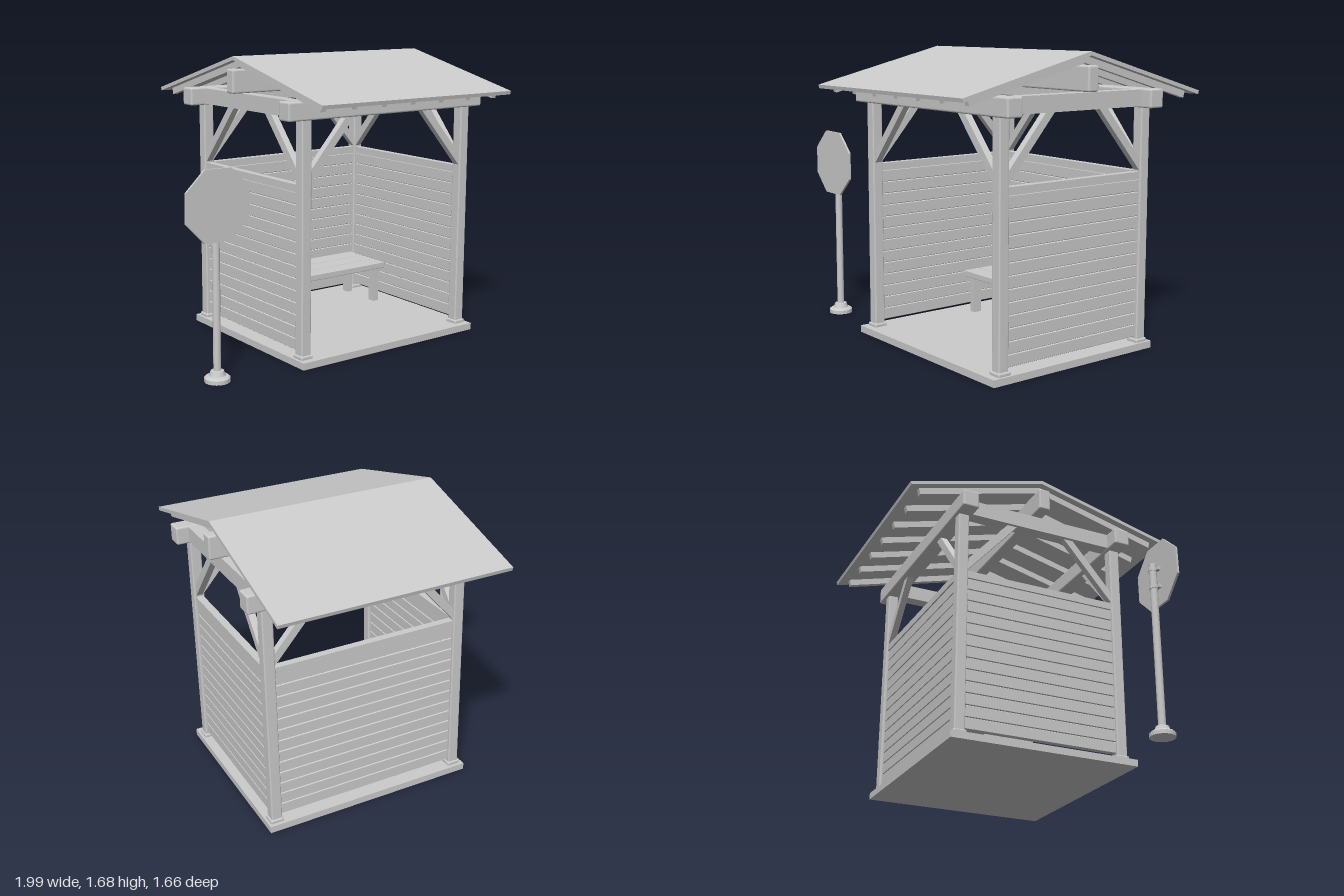
import * as THREE from 'three';
import { RoundedBoxGeometry } from 'three/addons/geometries/RoundedBoxGeometry.js';

const material = new THREE.MeshStandardMaterial({ color: 0xcccccc, flatShading: true });

export function createModel() {
  const model = new THREE.Group();

  const add = (parent, name, geometry) => {
    const mesh = new THREE.Mesh(geometry, material);
    mesh.name = name;
    parent.add(mesh);
    return mesh;
  };
  const group = (name) => {
    const g = new THREE.Group();
    g.name = name;
    model.add(g);
    return g;
  };
  // Box given by its limits on each axis, with an optional softened edge
  const box = (parent, name, [x0, x1], [y0, y1], [z0, z1], bevel = 0) => {
    const size = [x1 - x0, y1 - y0, z1 - z0];
    const geometry = bevel ? new RoundedBoxGeometry(...size, 2, bevel) : new THREE.BoxGeometry(...size);
    const mesh = add(parent, name, geometry);
    mesh.position.set((x0 + x1) / 2, (y0 + y1) / 2, (z0 + z1) / 2);
    return mesh;
  };
  // Outline in [x, y], extruded from z0 to z1
  const extrudeZ = (points, z0, z1) => {
    const shape = new THREE.Shape(points.map(([x, y]) => new THREE.Vector2(x, y)));
    return new THREE.ExtrudeGeometry(shape, { depth: z1 - z0, bevelEnabled: false }).translate(0, 0, z0);
  };
  // Outline in [z, y], extruded from x0 to x1
  const extrudeX = (points, x0, x1) =>
    extrudeZ(points.map(([z, y]) => [-z, y]), x0, x1).rotateY(Math.PI / 2);

  const postX = [-0.278, 0.882], postZ = [0.525, -0.469];
  const half = 0.032;

  // Floor slab
  box(model, 'floor', [-0.335, 0.936], [0, 0.04], [-0.53, 0.607]);

  // Corner posts with base collars
  const posts = group('posts');
  for (const x of postX) for (const z of postZ) {
    box(posts, 'post', [x - half, x + half], [0.04, 1.4], [z - half, z + half], 0.008);
    box(posts, 'postBase', [x - 0.04, x + 0.04], [0.035, 0.06], [z - 0.04, z + 0.04], 0.008);
  }

  // Beams: front, back, both sides and ridge
  const beams = group('beams');
  for (const z of postZ)
    box(beams, 'crossBeam', [-0.41, 0.995], [1.366, 1.47], [z - 0.049, z + 0.049], 0.01);
  for (const x of postX)
    box(beams, 'sideBeam', [x - 0.04, x + 0.04], [1.374, 1.465], [postZ[1], postZ[0]]);
  box(beams, 'ridgeBeam', [-0.41, 0.995], [1.472, 1.608], [-0.033, 0.038], 0.01);

  // Diagonal braces, two at every corner
  const braces = group('braces');
  const bracePoints = (start, dir) =>
    [[-0.01, 1.01], [0.31, 1.376], [0.25, 1.376], [-0.01, 1.078]].map(([d, y]) => [start + dir * d, y]);
  postX.forEach((x, i) => postZ.forEach((z, j) => {
    const dx = i ? -1 : 1, dz = j ? 1 : -1;
    add(braces, 'crossBrace', extrudeZ(bracePoints(x + dx * half, dx), z - 0.02, z + 0.02));
    add(braces, 'sideBrace', extrudeX(bracePoints(z + dz * half, dz), x - 0.02, x + 0.02));
  }));

  // Plank walls: a profile with a groove at every joint, plus a top rail
  const walls = group('walls');
  const wallProfile = (centre) => {
    const pitch = 0.069, thick = 0.016, side = [], other = [];
    for (let i = 0; i < 13; i++) {
      const y = 0.072 + i * pitch;
      for (const [t, h] of [[thick - 0.006, 0], [thick, 0.004], [thick, pitch - 0.004]]) {
        side.push([centre + t, y + h]);
        other.unshift([centre - t, y + h]);
      }
    }
    const top = 0.072 + 13 * pitch;
    return [...side, [centre + thick - 0.006, top], [centre - thick + 0.006, top], ...other];
  };
  for (const x of postX) {
    add(walls, 'sideWall', extrudeZ(wallProfile(x), postZ[1] + 0.02, postZ[0] - 0.02));
    box(walls, 'sideRail', [x - 0.022, x + 0.022], [0.969, 1.012], [postZ[1], postZ[0]]);
  }
  add(walls, 'backWall', extrudeX(wallProfile(postZ[1]), postX[0] + 0.02, postX[1] - 0.02));
  box(walls, 'backRail', postX, [0.969, 1.012], [postZ[1] - 0.022, postZ[1] + 0.022]);

  // Roof: two panels meeting at the ridge, carried by seven pairs of rafters
  const roof = group('roof');
  for (const [dir, slope] of [[1, 0.247], [-1, 0.281]]) {
    const panel = [[0, 1.68], [0.83, 1.68 - 0.83 * slope], [0.825, 1.658 - 0.825 * slope], [0, 1.658]];
    const rafter = [[0, 1.66], [0.765, 1.66 - 0.765 * slope], [0.755, 1.618 - 0.755 * slope], [0, 1.618]];
    const facing = (points) => points.map(([z, y]) => [dir * z, y]);
    add(roof, 'roofPanel', extrudeX(facing(panel), -0.386, 0.972));
    for (let i = 0; i < 7; i++) {
      const x = -0.326 + i * 0.2058;
      add(roof, 'rafter', extrudeX(facing(rafter), x - 0.016, x + 0.016));
    }
  }

  // Bench: three seat planks on bearers, with legs at both ends
  const bench = group('bench');
  for (let i = 0; i < 3; i++) {
    const z = -0.445 + i * 0.121;
    box(bench, 'seatPlank', [-0.235, 0.835], [0.257, 0.295], [z, z + 0.112], 0.004);
  }
  for (const x of [-0.172, 0.31, 0.777]) {
    box(bench, 'bearer', [x - 0.028, x + 0.028], [0.225, 0.258], [-0.435, -0.1]);
    if (x === 0.31) continue;
    for (const z of [-0.403, -0.131])
      box(bench, 'benchLeg', [x - 0.019, x + 0.019], [0.038, 0.226], [z - 0.026, z + 0.026]);
  }

  // Octagonal sign on a round pole with a stepped foot
  const sign = group('sign');
  sign.position.set(-0.802, 0, 0.467);
  const profile = [[0, 0], [0.071, 0], [0.071, 0.022], [0.062, 0.03], [0.045, 0.034], [0.036, 0.06], [0.021, 0.062],
    [0.021, 1.02], [0, 1.02]].map(([r, y]) => new THREE.Vector2(r, y));
  add(sign, 'signPole', new THREE.LatheGeometry(profile, 20));
  const plate = add(sign, 'signPlate', new THREE.CylinderGeometry(0.209, 0.209, 0.013, 8)
    .rotateY(Math.PI / 8).rotateX(Math.PI / 2));
  plate.position.set(-0.003, 0.958, 0.03);
  plate.rotation.z = -0.02;
  for (const y of [0.985, 0.875]) {
    box(sign, 'signClamp', [-0.042, 0.042], [y - 0.011, y + 0.011], [0.005, 0.026]);
    const ring = add(sign, 'clampRing', new THREE.CylinderGeometry(0.026, 0.026, 0.022, 16));
    ring.position.y = y;
  }

  return model;
}
